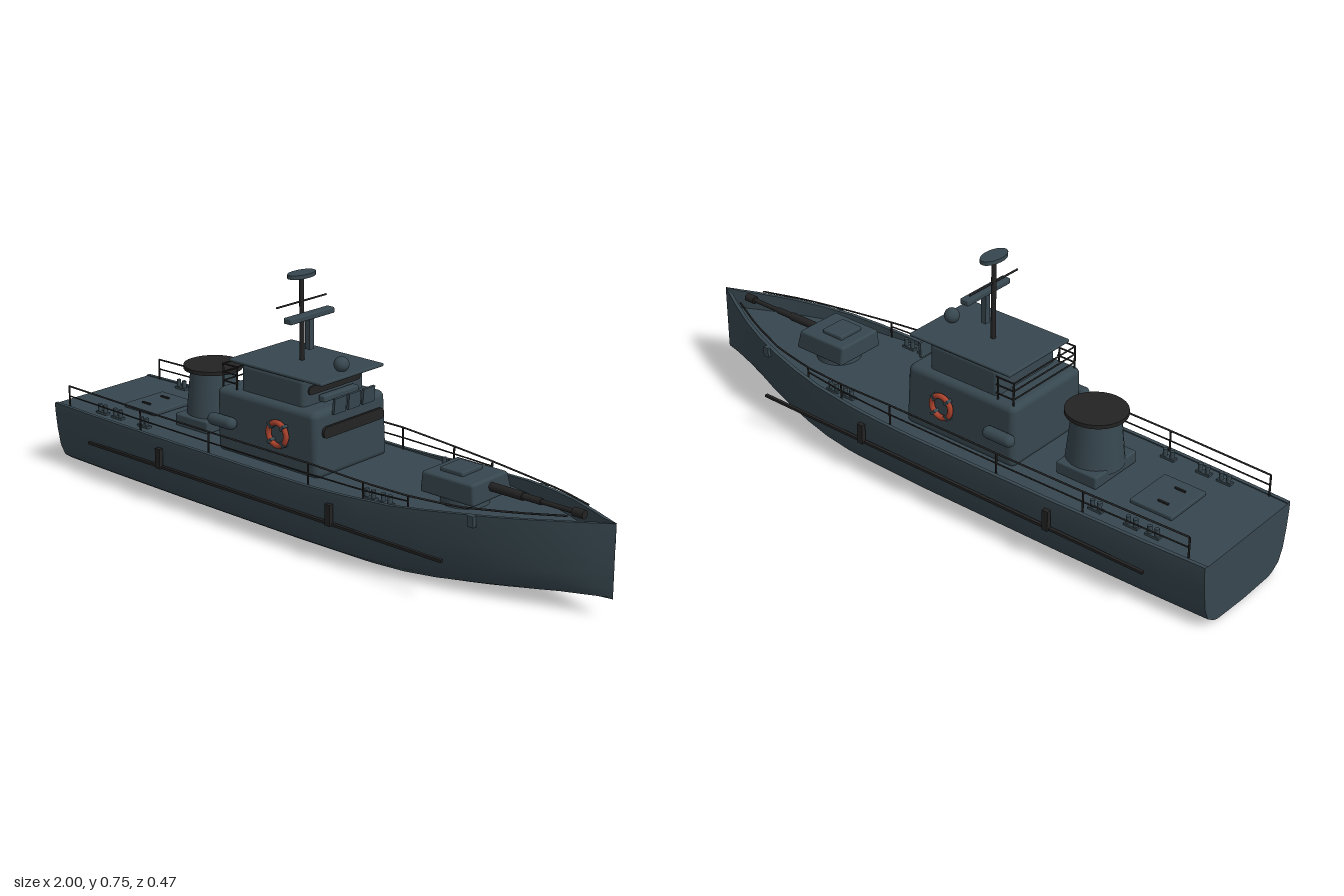
import * as THREE from 'three';
import { toCreasedNormals } from 'three/addons/utils/BufferGeometryUtils.js';
import { RoundedBoxGeometry } from 'three/addons/geometries/RoundedBoxGeometry.js';

const lerp = THREE.MathUtils.lerp;

// piecewise-linear lookup through [x, value] pairs
function sample(table, x) {
  for (let i = 1; i < table.length; i++) {
    const [x0, v0] = table[i - 1], [x1, v1] = table[i];
    if (x <= x1) return lerp(v0, v1, (x - x0) / (x1 - x0));
  }
  return table[table.length - 1][1];
}
const halfWidth = [[-1, 0.205], [-0.8, 0.213], [-0.5, 0.22], [0, 0.224], [0.25, 0.218], [0.4, 0.207],
  [0.5, 0.193], [0.6, 0.172], [0.7, 0.143], [0.8, 0.104], [0.9, 0.055], [1, 0.001]];
const sheer = [[-1, 0.213], [0.15, 0.214], [0.4, 0.227], [0.6, 0.247], [0.8, 0.262], [1, 0.274]];
const keel = [[-1, 0], [0.4, 0], [0.5, 0.006], [0.65, 0.022], [0.85, 0.047], [1, 0.06]];
// hull half-section: share of width, share of height
const section = [[0, 0], [0.6, 0.02], [0.7, 0.05], [0.84, 0.14], [0.92, 0.32], [0.97, 0.6], [1, 0.9], [1, 1]];

function hullGeometry() {
  const stations = [];
  for (let x = -1; x < 0.15; x += 0.1) stations.push(x);
  for (let x = 0.2; x < 1.01; x += 0.05) stations.push(Math.min(x, 1));
  const rings = stations.map((x) => {
    const w = sample(halfWidth, x), top = sample(sheer, x), low = sample(keel, x);
    const bow = Math.max(0, (x - 0.3) / 0.7);
    const half = section.map(([p, t]) => [w * p * (1 - 0.35 * bow * (1 - t)), lerp(low, top, t)]);
    const inner = Math.max(0, w - 0.012);
    half.push([inner, top], [inner, 0.21]);
    const other = half.slice(1).reverse().map(([z, y]) => [-z, y]);
    return [...half, ...other].map(([z, y]) => [x, y, z]);
  });
  const pos = [], n = rings[0].length;
  for (let j = 0; j < n; j++) {
    const k = (j + 1) % n;
    for (let i = 0; i < rings.length - 1; i++) {
      const a = rings[i][j], b = rings[i + 1][j], c = rings[i + 1][k], d = rings[i][k];
      pos.push(...a, ...b, ...c, ...a, ...c, ...d);
    }
    pos.push(-1, 0.1, 0, ...rings[0][j], ...rings[0][k]);
  }
  const g = new THREE.BufferGeometry();
  g.setAttribute('position', new THREE.Float32BufferAttribute(pos, 3));
  return toCreasedNormals(g, 0.6);
}

// rounded slab standing in the y-z plane or lying flat
function pill(length, height, depth) {
  const r = height * 0.48, a = length / 2, b = height / 2;
  const s = new THREE.Shape();
  s.moveTo(-a + r, -b); s.lineTo(a - r, -b);
  s.quadraticCurveTo(a, -b, a, 0); s.quadraticCurveTo(a, b, a - r, b);
  s.lineTo(-a + r, b); s.quadraticCurveTo(-a, b, -a, 0); s.quadraticCurveTo(-a, -b, -a + r, -b);
  return new THREE.ExtrudeGeometry(s, { depth, bevelEnabled: false, curveSegments: 6 });
}

export function createModel() {
  const model = new THREE.Group();
  const paint = (name, color) => {
    const m = new THREE.MeshStandardMaterial({ color });
    m.name = name;
    return m;
  };
  const grey = paint('slate grey', 0x37474f);
  const black = paint('soft black', 0x232323);
  const orange = paint('ring orange', 0xa8412c);

  const add = (name, geometry, material, x = 0, y = 0, z = 0) => {
    const m = new THREE.Mesh(geometry, material);
    m.name = name;
    m.position.set(x, y, z);
    model.add(m);
    return m;
  };
  const box = (name, mat, x, y, z, sx, sy, sz, r = 0) => add(name,
    r ? new RoundedBoxGeometry(sx, sy, sz, 3, r) : new THREE.BoxGeometry(sx, sy, sz), mat, x, y, z);
  const post = (name, mat, x, y0, y1, z, r0, r1 = r0, sides = 12) =>
    add(name, new THREE.CylinderGeometry(r1, r0, y1 - y0, sides), mat, x, (y0 + y1) / 2, z);
  const rod = (name, mat, points, r) => {
    const path = new THREE.CurvePath();
    const v = points.map((p) => new THREE.Vector3(...p));
    for (let i = 1; i < v.length; i++) path.add(new THREE.LineCurve3(v[i - 1], v[i]));
    return add(name, new THREE.TubeGeometry(path, (v.length - 1) * 4, r, 6), mat);
  };

  add('hull', hullGeometry(), grey);

  // lower deckhouse with a slightly raked front
  const house = new RoundedBoxGeometry(0.405, 0.2, 0.31, 4, 0.02);
  const hp = house.attributes.position;
  for (let i = 0; i < hp.count; i++) {
    if (hp.getX(i) > 0) hp.setX(i, hp.getX(i) - 0.012 * (hp.getY(i) / 0.2 + 0.5));
  }
  add('deckhouse', house, grey, -0.115, 0.303, 0);
  box('wheelhouse', grey, -0.113, 0.435, 0, 0.25, 0.1, 0.262, 0.015);
  box('wheelhouseRoof', grey, -0.1, 0.486, 0, 0.37, 0.01, 0.27, 0.004);

  // window bands facing the bow
  add('lowerWindow', pill(0.26, 0.034, 0.008), black, 0.083, 0.342, 0).rotation.y = Math.PI / 2;
  add('upperWindow', pill(0.222, 0.026, 0.008), black, 0.008, 0.447, 0).rotation.y = Math.PI / 2;
  for (const z of [-0.062, 0, 0.062]) {
    box('frontScreen', grey, 0.088, 0.412, z, 0.008, 0.048, 0.05).rotation.z = -0.08;
  }
  box('bridgeConsole', grey, 0.03, 0.42, 0, 0.025, 0.02, 0.15, 0.005);

  // search dome, radar and mast
  post('domeBase', grey, 0.04, 0.488, 0.5, 0, 0.014);
  add('dome', new THREE.SphereGeometry(0.023, 20, 14), grey, 0.04, 0.509, 0);
  post('mast', black, -0.115, 0.488, 0.75, 0, 0.008, 0.007);
  const disc = add('mastheadAntenna', new THREE.CylinderGeometry(0.052, 0.052, 0.012, 24), grey, -0.115, 0.748, 0);
  disc.scale.x = 0.55;
  const yard = add('yard', new THREE.CylinderGeometry(0.003, 0.003, 0.21, 8), black, -0.115, 0.668, 0);
  yard.rotation.x = Math.PI / 2;
  box('radarPost', grey, -0.085, 0.578, 0, 0.018, 0.096, 0.018);
  box('radarBar', grey, -0.085, 0.631, 0, 0.03, 0.018, 0.187, 0.004);

  // funnel
  box('funnelBase', grey, -0.492, 0.23, 0.0, 0.14, 0.04, 0.19, 0.006);
  post('funnel', grey, -0.487, 0.235, 0.392, 0, 0.086, 0.07, 28);
  post('funnelCap', black, -0.487, 0.39, 0.402, 0, 0.091, 0.091, 28);

  // aft hatch
  box('aftHatch', grey, -0.738, 0.217, 0, 0.14, 0.014, 0.165, 0.004);
  for (const z of [-0.04, 0.04]) box('hatchHandle', black, -0.75, 0.226, z, 0.035, 0.006, 0.006);

  // gun: shield, stepped barrel and muzzle
  post('gunPedestal', grey, 0.5, 0.208, 0.25, 0, 0.07, 0.065, 24);
  const shield = new RoundedBoxGeometry(0.19, 0.06, 0.175, 3, 0.008);
  const sp = shield.attributes.position;
  for (let i = 0; i < sp.count; i++) {
    const t = sp.getY(i) / 0.06 + 0.5;
    sp.setZ(i, sp.getZ(i) * (1 - 0.1 * t));
    if (sp.getX(i) > 0) sp.setX(i, sp.getX(i) - 0.012 * t);
  }
  add('gunShield', shield, grey, 0.503, 0.267, 0);
  box('gunRoofHatch', grey, 0.485, 0.302, 0, 0.08, 0.014, 0.09, 0.004);
  for (const [name, x0, x1, r] of [['barrelSleeve', 0.59, 0.7, 0.013], ['barrelCollar', 0.7, 0.76, 0.01],
    ['barrel', 0.6, 0.9, 0.007], ['muzzle', 0.865, 0.9, 0.013]]) {
    const m = add(name, new THREE.CylinderGeometry(r, r, x1 - x0, 14), black, (x0 + x1) / 2, 0.273, 0);
    m.rotation.z = Math.PI / 2;
  }

  for (const s of [1, -1]) {
    // rubbing strake and fenders
    box('rubbingStrake', black, -0.11, 0.125, s * 0.223, 1.42, 0.008, 0.01);
    for (const x of [-0.495, 0.197]) box('fender', black, x, 0.153, s * 0.228, 0.02, 0.064, 0.014);

    // life rings and side tanks
    add('lifeRing', new THREE.TorusGeometry(0.035, 0.0085, 10, 28), orange, -0.06, 0.315, s * 0.165);
    for (let i = 0; i < 4; i++) {
      const a = Math.PI / 4 + i * Math.PI / 2;
      box('ringBand', grey, -0.06 + 0.035 * Math.cos(a), 0.315 + 0.035 * Math.sin(a), s * 0.165,
        0.019, 0.009, 0.019).rotation.z = a;
    }
    const tank = add('sideTank', new THREE.CapsuleGeometry(0.019, 0.07, 6, 16), grey, -0.278, 0.307, s * 0.171);
    tank.rotation.z = Math.PI / 2;

    // guard rail following the deck edge
    const edge = (x, y) => [x, y, s * (sample(halfWidth, x) - 0.014)];
    const railTop = (x) => sample([[-1, 0.278], [0.1, 0.278], [0.4, 0.263], [0.6, 0.262], [0.9, 0.28]], x);
    const xs = [-0.94, -0.6, -0.3, 0.1, 0.3, 0.45];
    rod('upperRail', black, [...xs, 0.6, 0.75, 0.88].map((x) => edge(x, railTop(x))), 0.003);
    rod('lowerRail', black, xs.map((x) => edge(x, (railTop(x) + sample(sheer, x)) / 2)), 0.0025);
    for (const x of xs) {
      const [, , z] = edge(x, 0);
      post('railPost', black, x, 0.208, railTop(x), z, 0.003, 0.003, 6);
    }

    // paired bollards, chocks and bow fairleads
    for (const x of [-0.81, -0.74, -0.62, 0.3, 0.36]) {
      for (const d of [-0.012, 0.012]) post('bollard', grey, x + d, 0.208, 0.24, s * 0.17, 0.007);
      box('bollardBase', grey, x, 0.213, s * 0.17, 0.045, 0.008, 0.018);
    }
    box('bowFairlead', grey, 0.65, 0.235, s * 0.162, 0.02, 0.032, 0.012);

    // rail behind the wheelhouse
    for (const x of [-0.303, -0.247]) post('bridgePost', black, x, 0.4, 0.474, s * 0.138, 0.003, 0.003, 6);
    for (const y of [0.42, 0.447, 0.472]) {
      rod('bridgeRail', black, [[-0.303, y, s * 0.138], [-0.24, y, s * 0.138]], 0.0025);
    }
  }
  for (const y of [0.42, 0.447, 0.472]) {
    rod('bridgeAftRail', black, [[-0.303, y, -0.138], [-0.303, y, 0.138]], 0.0025);
  }
  return model;
}
